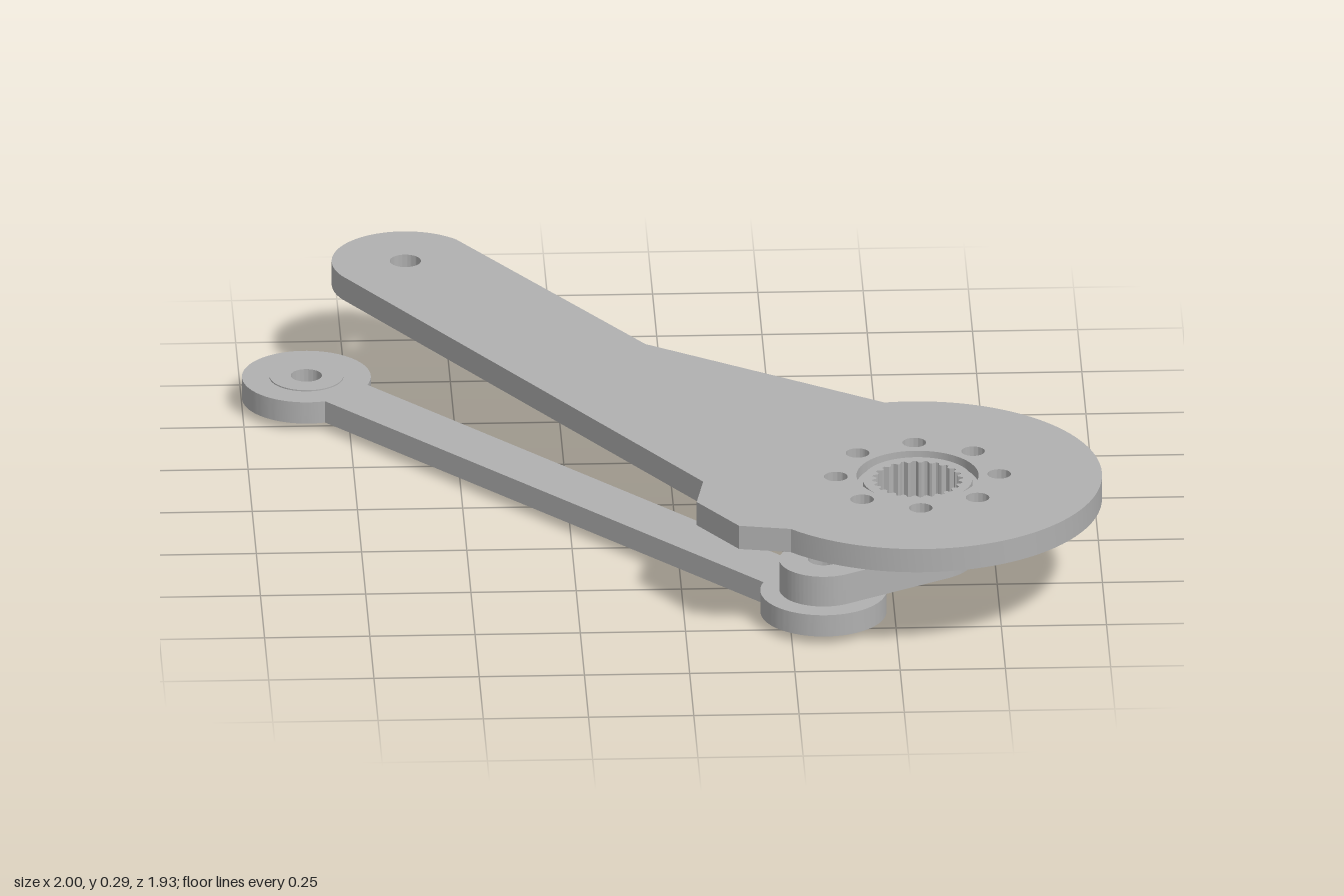
import * as THREE from 'three';
import { toCreasedNormals } from 'three/addons/utils/BufferGeometryUtils.js';

// Plan points are (x, -z), extruded upwards.
const P = (x, z) => new THREE.Vector2(x, -z);
const hub = P(0.56, 0.522), armEnd = P(-0.605, -0.795);
const pinA = P(0.33, 0.69), pinB = P(-0.847, -0.622);
const BORE = 0.037;

function circle(c, r) {
  const path = new THREE.Path();
  path.absarc(c.x, c.y, r, 0, Math.PI * 2);
  return path;
}

function disc(c, r) {
  const shape = new THREE.Shape();
  shape.absarc(c.x, c.y, r, 0, Math.PI * 2);
  return shape;
}

// Two round ends joined by their outer tangents
function taperedLink(a, ra, b, rb) {
  const dir = Math.atan2(b.y - a.y, b.x - a.x);
  const t = Math.acos((ra - rb) / a.distanceTo(b));
  const shape = new THREE.Shape();
  shape.absarc(a.x, a.y, ra, dir + t, dir - t + Math.PI * 2);
  shape.absarc(b.x, b.y, rb, dir - t, dir + t);
  return shape;
}

// Two round eyes joined by a narrower straight bar
function eyeLink(a, ra, b, rb, half) {
  const dir = Math.atan2(b.y - a.y, b.x - a.x);
  const ta = Math.asin(half / ra), tb = Math.asin(half / rb);
  const shape = new THREE.Shape();
  shape.absarc(a.x, a.y, ra, dir + ta, dir - ta + Math.PI * 2);
  shape.absarc(b.x, b.y, rb, dir + Math.PI + tb, dir + Math.PI * 3 - tb);
  return shape;
}

export function createModel() {
  const model = new THREE.Group();
  model.name = 'linkageArm';
  const grey = new THREE.MeshStandardMaterial({ color: 0xb0b0b0 });
  grey.name = 'grey';

  function slab(name, shape, holes, y0, y1) {
    shape.holes.push(...holes);
    const extruded = new THREE.ExtrudeGeometry(shape, { depth: y1 - y0, bevelEnabled: false, curveSegments: 48 });
    extruded.rotateX(-Math.PI / 2).translate(0, y0, 0);
    const geometry = toCreasedNormals(extruded, 0.45);
    geometry.clearGroups();
    const mesh = new THREE.Mesh(geometry, grey);
    mesh.name = name;
    model.add(mesh);
  }

  // Main arm plate: large disc, stop tab and tapering arm
  const plate = new THREE.Shape();
  const deg = Math.PI / 180;
  plate.absarc(hub.x, hub.y, 0.438, 98 * deg, -135.6 * deg, true);
  for (const p of [P(0.125, 0.805), P(0.03, 0.66), P(0.05, 0.54)]) plate.lineTo(p.x, p.y);
  plate.absarc(armEnd.x, armEnd.y, 0.175, 209 * deg, 44 * deg, true);
  plate.lineTo(-0.055, 0.28);
  plate.closePath();
  const plateHoles = [circle(hub, 0.145), circle(armEnd, BORE)];
  for (let i = 0; i < 8; i++) {
    const a = i * Math.PI / 4;
    plateHoles.push(circle(P(hub.x + 0.194 * Math.cos(a), -hub.y + 0.194 * Math.sin(a)), 0.028));
  }
  slab('armPlate', plate, plateHoles, 0.235, 0.295);
  slab('hubLedge', disc(hub, 0.145), [circle(hub, 0.129)], 0.235, 0.27);

  // Hollow shaft with a splined bore
  const spline = [];
  const teeth = 24;
  for (let i = 0; i < teeth * 4; i++) {
    const r = i % 4 < 2 ? 0.108 : 0.098;
    const a = i / (teeth * 4) * Math.PI * 2;
    spline.push(new THREE.Vector2(hub.x + r * Math.cos(a), hub.y + r * Math.sin(a)));
  }
  slab('splinedShaft', disc(hub, 0.13), [new THREE.Path(spline)], 0.155, 0.285);

  // Crank between the shaft and the connecting rod
  slab('crank', taperedLink(hub, 0.135, pinA, 0.105), [circle(hub, BORE), circle(pinA, BORE)], 0.078, 0.155);

  // Connecting rod with bearing pads below and thin bosses above
  slab('connectingRod', eyeLink(pinA, 0.15, pinB, 0.153, 0.07), [circle(pinA, BORE), circle(pinB, BORE)], 0.02, 0.075);
  for (const [side, pin] of [['crank', pinA], ['free', pinB]]) {
    slab(side + 'EndPad', disc(pin, 0.105), [circle(pin, BORE)], 0, 0.02);
    slab(side + 'EndBoss', disc(pin, 0.088), [circle(pin, BORE)], 0.075, 0.078);
  }

  return model;
}
